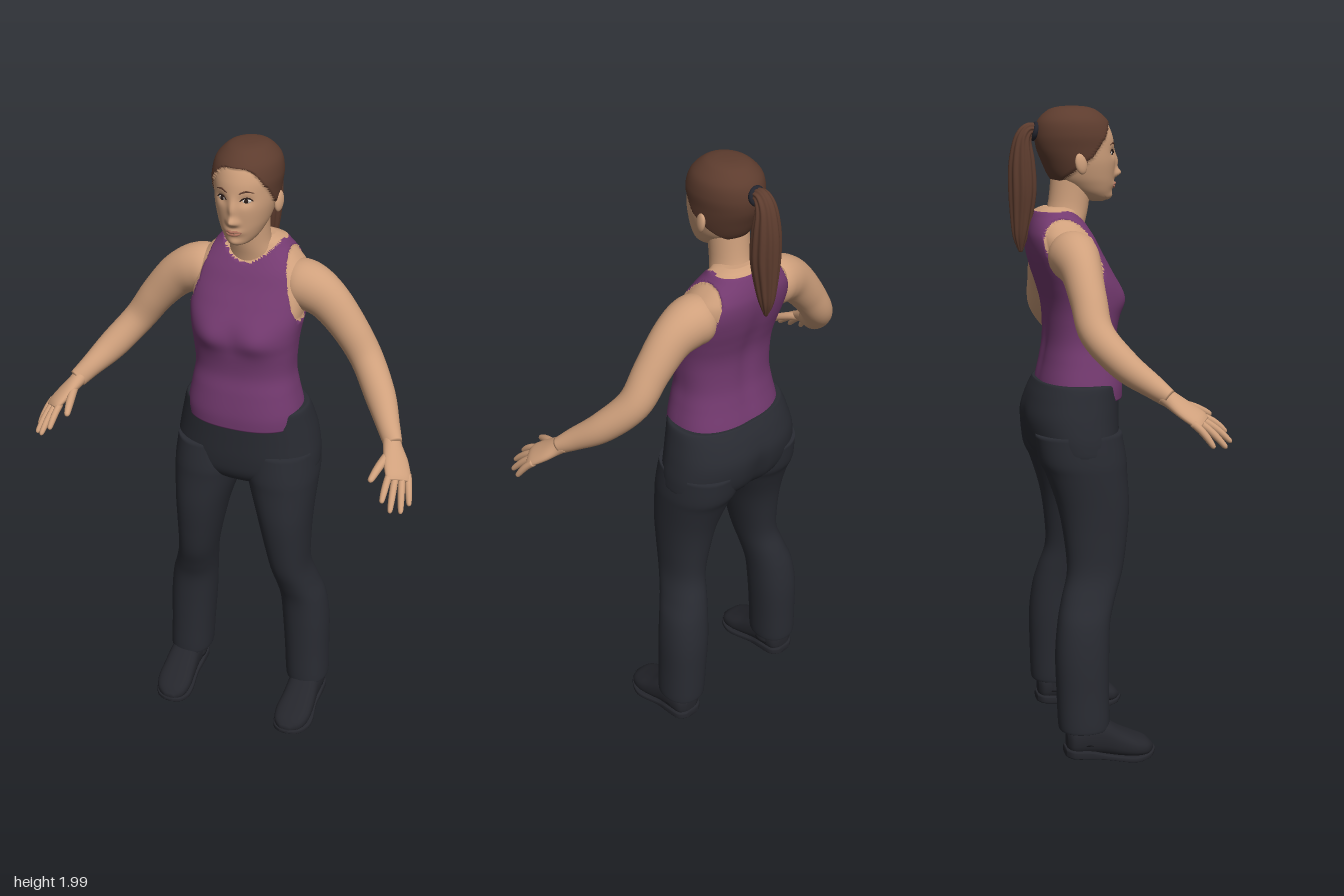
import * as THREE from 'three';

const mat = (name, color, extra = {}) => Object.assign(new THREE.MeshStandardMaterial({ color, ...extra }), { name });
const V = (x, y, z) => new THREE.Vector3(x, y, z);
const X = V(1, 0, 0), Y = V(0, 1, 0), Z = V(0, 0, 1);

// Smoothly subdivide rows of numbers, k steps per span
function sample(rows, k) {
  const out = [], last = rows.length - 1;
  for (let i = 0; i < last; i++) {
    const [a, b, c, d] = [rows[Math.max(i - 1, 0)], rows[i], rows[i + 1], rows[Math.min(i + 2, last)]];
    for (let s = 0; s < k; s++) {
      const t = s / k;
      out.push(b.map((_, n) => b[n] + 0.5 * t * (c[n] - a[n]
        + t * (2 * a[n] - 5 * b[n] + 4 * c[n] - d[n] + t * (3 * (b[n] - c[n]) + d[n] - a[n])))));
    }
  }
  out.push(rows[last].slice());
  return out;
}

// Closed skin over rows of [x, y, z, halfWidth, halfDepth].
// axis: fixed ring direction; wide: direction of halfWidth; n: roundness of the ring;
// shape: moves a vertex; paint: picks material 0 or 1; lift: raises material 1
function loft(name, rows, material, o = {}) {
  const { axis, wide = X, seg = 32, k = 5, n = 2, shape, paint, lift = 0 } = o;
  const R = sample(rows, k), base = [], pos = [], faces = [[], []];
  const centres = R.map(r => V(r[0], r[1], r[2]));
  const pw = v => Math.sign(v) * Math.abs(v) ** (2 / n);
  R.forEach((r, j) => {
    const step = centres[Math.min(j + 1, R.length - 1)].clone().sub(centres[Math.max(j - 1, 0)]);
    const t = axis ? axis.clone().multiplyScalar(Math.sign(step.dot(axis)) || 1) : step.normalize();
    const u = wide.clone().addScaledVector(t, -wide.dot(t)).normalize();
    const v = t.clone().cross(u);
    for (let i = 0; i < seg; i++) {
      const th = i / seg * Math.PI * 2;
      const p = centres[j].clone().addScaledVector(u, r[3] * pw(Math.cos(th))).addScaledVector(v, r[4] * pw(Math.sin(th)));
      if (shape) shape(p, centres[j], th);
      base.push(p.clone());
      if (paint && paint(p)) p.addScaledVector(p.clone().sub(centres[j]).normalize(), lift);
      pos.push(p.x, p.y, p.z);
    }
  });
  const add = (a, b, c) => {
    const mid = base[a].clone().add(base[b]).add(base[c]).divideScalar(3);
    faces[paint && paint(mid) ? 1 : 0].push(a, b, c);
  };
  for (let j = 0; j < R.length - 1; j++) for (let i = 0; i < seg; i++) {
    const a = j * seg + i, b = j * seg + (i + 1) % seg;
    add(a, b, a + seg); add(b, b + seg, a + seg);
  }
  for (const j of [0, R.length - 1]) {
    const c = base.length, o2 = j * seg;
    base.push(centres[j]); pos.push(...centres[j].toArray());
    for (let i = 0; i < seg; i++) {
      const a = o2 + i, b = o2 + (i + 1) % seg;
      j ? add(c, a, b) : add(c, b, a);
    }
  }
  const g = new THREE.BufferGeometry();
  g.setAttribute('position', new THREE.Float32BufferAttribute(pos, 3));
  g.setIndex([...faces[0], ...faces[1]]);
  if (paint) {
    g.addGroup(0, faces[0].length, 0);
    g.addGroup(faces[0].length, faces[1].length, 1);
  }
  g.computeVertexNormals();
  const m = new THREE.Mesh(g, material);
  m.name = name;
  return m;
}

// Piecewise linear lookup in [key, value] pairs, keys rising
function lookup(pairs, y) {
  if (y <= pairs[0][0]) return pairs[0][1];
  for (let i = 1; i < pairs.length; i++) if (y <= pairs[i][0]) {
    const [a, b] = [pairs[i - 1], pairs[i]];
    return a[1] + (b[1] - a[1]) * (y - a[0]) / (b[0] - a[0]);
  }
  return pairs[pairs.length - 1][1];
}
const bump = (dx, dy, sx, sy, h) => h * Math.exp(-((dx / sx) ** 2) - (dy / sy) ** 2);

export function createModel() {
  const model = new THREE.Group();
  model.name = 'woman';
  const skin = mat('skin', 0xcfa07c), top = mat('purple fabric', 0x743a70), cloth = mat('dark trousers', 0x292b32);
  const leather = mat('shoe leather', 0x25262c), hair = mat('brown hair', 0x5d3c2e), tie = mat('hair tie', 0x24252e);
  const white = mat('eye white', 0xd8d0c8), dark = mat('dark eye', 0x2a1c18), lip = mat('lips', 0xb0735f);
  const add = (...m) => model.add(...m);
  const ball = (name, m, x, y, z, sx, sy, sz) => {
    const b = new THREE.Mesh(new THREE.SphereGeometry(1, 20, 14), m);
    b.name = name; b.position.set(x, y, z); b.scale.set(sx, sy, sz);
    add(b); return b;
  };

  // Torso: sleeveless top with armholes and a scooped neckline over skin
  const armhole = [[1.44, 0.21], [1.47, 0.168], [1.52, 0.15], [1.6, 0.127], [1.69, 0.105]];
  const isTop = p => Math.abs(p.x) < lookup(armhole, p.y)
    && p.y < (p.z > -0.12 ? 1.635 + 0.055 * Math.min(1, (p.x / 0.085) ** 2) : 1.688);
  add(loft('torso', [
    [0, 1.125, -0.05, 0.174, 0.122], [0, 1.17, -0.05, 0.174, 0.123], [0, 1.24, -0.047, 0.16, 0.112],
    [0, 1.3, -0.047, 0.15, 0.103], [0, 1.37, -0.044, 0.154, 0.106], [0, 1.42, -0.045, 0.16, 0.111],
    [0, 1.47, -0.056, 0.168, 0.114], [0, 1.52, -0.076, 0.174, 0.11], [0, 1.57, -0.096, 0.176, 0.102],
    [0, 1.61, -0.108, 0.165, 0.094], [0, 1.64, -0.115, 0.14, 0.083], [0, 1.67, -0.12, 0.108, 0.068],
    [0, 1.69, -0.12, 0.088, 0.056], [0, 1.7, -0.12, 0.06, 0.035],
  ], [skin, top], {
    axis: Y, seg: 112, k: 7, n: 2.4, paint: isTop, lift: 0.006,
    shape: (p, c) => {
      if (p.z > c.z) p.z += bump(Math.abs(p.x) - 0.07, p.y - 1.425, 0.055, 0.045, 0.016);
      else p.z += bump(p.x, p.y - 1.4, 0.03, 0.2, 0.008);
    },
  }));
  add(loft('neck', [[0, 1.58, -0.11, 0.08, 0.07], [0, 1.645, -0.1, 0.074, 0.07], [0, 1.7, -0.08, 0.059, 0.062],
    [0, 1.8, -0.068, 0.058, 0.062]], skin, { axis: Y }));

  // Trousers: hips and two legs
  add(loft('hips', [
    [0, 1.178, -0.063, 0.188, 0.122], [0, 1.17, -0.063, 0.197, 0.127], [0, 1.13, -0.072, 0.208, 0.137],
    [0, 1.07, -0.08, 0.222, 0.145], [0, 1.0, -0.076, 0.232, 0.14], [0, 0.95, -0.068, 0.222, 0.124],
    [0, 0.915, -0.06, 0.14, 0.09], [0, 0.895, -0.06, 0.04, 0.04],
  ], cloth, { axis: Y, seg: 48, n: 2.3, shape: (p, c) => { if (p.z < c.z) p.z += bump(p.x, p.y - 1.0, 0.025, 0.08, 0.014); } }));

  // Head: one skin with a painted, slightly raised hair cap
  const headRows = [
    [0, 1.714, 0.012, 0.014, 0.018], [0, 1.722, 0.004, 0.034, 0.042], [0, 1.74, -0.012, 0.052, 0.064],
    [0, 1.765, -0.026, 0.066, 0.084], [0, 1.79, -0.036, 0.076, 0.097], [0, 1.83, -0.044, 0.086, 0.108],
    [0, 1.87, -0.053, 0.091, 0.115], [0, 1.91, -0.059, 0.094, 0.114], [0, 1.95, -0.064, 0.085, 0.1],
    [0, 1.98, -0.066, 0.058, 0.069], [0, 1.991, -0.066, 0.033, 0.038], [0, 1.994, -0.066, 0.004, 0.004],
  ];
  const relief = (x, y) => {
    const ax = Math.abs(x);
    return bump(x, y - 1.797, 0.012, 0.013, 0.021) + bump(x, y - 1.83, 0.011, 0.028, 0.012)
      + bump(ax - 0.013, y - 1.792, 0.008, 0.009, 0.006) + bump(ax - 0.036, y - 1.857, 0.017, 0.014, -0.008)
      + bump(x, y - 1.763, 0.024, 0.011, 0.008) + bump(x, y - 1.73, 0.022, 0.014, 0.008);
  };
  const fine = sample(headRows, 12);
  const faceZ = (x, y) => {
    const r = fine.reduce((a, b) => Math.abs(b[1] - y) < Math.abs(a[1] - y) ? b : a);
    return r[2] + r[4] * Math.sqrt(Math.max(0, 1 - (x / r[3]) ** 2)) + relief(x, y);
  };
  const hairline = [[1.755, -0.3], [1.765, -0.12], [1.79, -0.092], [1.82, -0.055], [1.85, -0.02], [1.9, 0.015], [1.945, 0.034], [1.955, 0.2]];
  add(loft('head', headRows, [skin, hair], {
    axis: Y, seg: 96, k: 10, lift: 0.006,
    paint: p => p.z < lookup(hairline, p.y),
    shape: (p, c) => { if (p.z > c.z + 0.03) p.z += relief(p.x, p.y); },
  }));

  // Thin strokes and plates that follow the face
  const stroke = (name, m, pts, r) => add(loft(name, pts.map(([x, y, f = 1]) => [x, y, faceZ(x, y), r * f, r * f]), m, { wide: Y, seg: 8, k: 4 }));
  stroke('upper lip', lip, [[-0.025, 1.762, 0.3], [-0.01, 1.767], [0, 1.765], [0.01, 1.767], [0.025, 1.762, 0.3]], 0.004);
  stroke('lower lip', lip, [[-0.022, 1.76, 0.3], [-0.01, 1.757], [0.01, 1.757], [0.022, 1.76, 0.3]], 0.0045);
  for (const s of [1, -1]) {
    const ez = faceZ(s * 0.036, 1.857);
    ball('eye', white, s * 0.036, 1.857, ez, 0.014, 0.0065, 0.004).rotation.y = s * 0.4;
    ball('iris', dark, s * 0.036, 1.857, ez + 0.002, 0.0065, 0.0065, 0.004).rotation.y = s * 0.4;
    stroke('eyelashes', dark, [[s * 0.02, 1.857, 0.5], [s * 0.03, 1.865], [s * 0.043, 1.865], [s * 0.053, 1.857, 0.5]], 0.0025);
    stroke('eyebrow', hair, [[s * 0.018, 1.879, 0.6], [s * 0.036, 1.886], [s * 0.056, 1.88, 0.3]], 0.0028);
    ball('ear', skin, s * 0.093, 1.827, -0.06, 0.01, 0.031, 0.019).rotation.set(-0.2, s * -0.3, 0);
  }

  // Ponytail with strands, held by a tie
  add(loft('ponytail', [
    [0, 1.915, -0.165, 0.018, 0.018], [0, 1.925, -0.195, 0.024, 0.02], [0, 1.895, -0.216, 0.032, 0.026],
    [0, 1.83, -0.219, 0.04, 0.038], [0, 1.75, -0.218, 0.041, 0.041], [0, 1.67, -0.222, 0.031, 0.033],
    [0, 1.61, -0.226, 0.02, 0.022], [0, 1.565, -0.225, 0.004, 0.005],
  ], hair, { seg: 60, shape: (p, c, th) => p.sub(c).multiplyScalar(1 + 0.07 * Math.sin(10 * th + p.y * 30)).add(c) }));
  const band = new THREE.Mesh(new THREE.TorusGeometry(0.021, 0.008, 10, 28), tie);
  band.name = 'hairTie'; band.position.set(0, 1.92, -0.18); band.rotation.x = 0.25;
  add(band);

  for (const s of [1, -1]) {
    const side = rows => rows.map(([x, ...rest]) => [s * x, ...rest]);
    // Arm and hand
    add(loft('arm', side([
      [0.1, 1.565, -0.105, 0.05, 0.055], [0.145, 1.565, -0.102, 0.072, 0.073], [0.19, 1.555, -0.098, 0.07, 0.073],
      [0.245, 1.522, -0.094, 0.059, 0.064], [0.31, 1.45, -0.09, 0.053, 0.055], [0.37, 1.365, -0.08, 0.05, 0.049],
      [0.435, 1.285, -0.018, 0.044, 0.046], [0.485, 1.23, 0.052, 0.033, 0.034], [0.512, 1.2, 0.09, 0.024, 0.029],
    ]), skin, { wide: Z, k: 6 }));
    add(loft('palm', side([
      [0.503, 1.21, 0.076, 0.027, 0.024], [0.513, 1.195, 0.097, 0.03, 0.022], [0.533, 1.172, 0.128, 0.039, 0.018],
      [0.552, 1.147, 0.163, 0.041, 0.015], [0.56, 1.137, 0.178, 0.034, 0.008],
    ]), skin, { wide: V(s * 0.7, -0.2, -0.7), seg: 24 }));
    const fingers = {
      thumb: [0.51, 1.185, 0.115, 0.485, 1.142, 0.222], indexFinger: [0.53, 1.147, 0.188, 0.532, 1.1, 0.252],
      middleFinger: [0.547, 1.143, 0.175, 0.56, 1.077, 0.258], ringFinger: [0.563, 1.14, 0.162, 0.586, 1.067, 0.236],
      littleFinger: [0.578, 1.135, 0.147, 0.599, 1.072, 0.196],
    };
    for (const [name, [a, b, c, d, e, f]] of Object.entries(fingers)) {
      const r = name === 'thumb' ? 0.013 : 0.0105;
      const at = (t, q) => [a + (d - a) * t, b + (e - b) * t + 0.02 * t * (1 - t), c + (f - c) * t, r * q, r * q];
      add(loft(name, side([at(-0.15, 1), at(0.25, 1), at(0.6, 0.95), at(0.9, 0.75), at(0.98, 0.45), at(1, 0.1)]), skin, { seg: 12, k: 3 }));
    }
    // Trouser leg
    add(loft('trouserLeg', side([
      [0.118, 1.03, -0.077, 0.108, 0.132], [0.121, 0.95, -0.065, 0.113, 0.134], [0.127, 0.9, -0.053, 0.106, 0.124],
      [0.14, 0.8, -0.035, 0.087, 0.11], [0.15, 0.7, -0.031, 0.073, 0.097], [0.161, 0.6, -0.036, 0.063, 0.086],
      [0.178, 0.52, -0.06, 0.066, 0.083], [0.194, 0.45, -0.078, 0.073, 0.081], [0.204, 0.35, -0.086, 0.076, 0.083],
      [0.21, 0.23, -0.086, 0.073, 0.081], [0.215, 0.122, -0.084, 0.071, 0.079], [0.215, 0.118, -0.084, 0.064, 0.072],
    ]), cloth, { axis: Y, n: 2.2 }));
    // Shoe with a thin sole
    add(loft('shoe', side([
      [0.221, 0.075, -0.14, 0.02, 0.022], [0.221, 0.08, -0.125, 0.046, 0.044], [0.221, 0.088, -0.08, 0.053, 0.056],
      [0.221, 0.083, -0.03, 0.053, 0.058], [0.221, 0.06, 0.025, 0.057, 0.045], [0.219, 0.044, 0.075, 0.059, 0.034],
      [0.216, 0.034, 0.115, 0.046, 0.024], [0.213, 0.028, 0.137, 0.016, 0.008],
    ]), leather, { axis: Z, n: 2.5 }));
    add(loft('sole', side([
      [0.221, 0.042, -0.146, 0.024, 0.012], [0.221, 0.042, -0.125, 0.05, 0.015], [0.221, 0.037, -0.07, 0.054, 0.015],
      [0.221, 0.025, -0.02, 0.052, 0.01], [0.221, 0.014, 0.05, 0.063, 0.01], [0.218, 0.011, 0.09, 0.06, 0.01],
      [0.215, 0.014, 0.125, 0.042, 0.009], [0.213, 0.02, 0.144, 0.014, 0.006],
    ]), leather, { axis: Z, n: 5 }));
    add(loft('shoeCollar', side([[0.219, 0.07, -0.075, 0.055, 0.06], [0.219, 0.125, -0.078, 0.052, 0.06], [0.219, 0.15, -0.08, 0.05, 0.058]]), leather, { axis: Y }));
  }
  return model;
}
